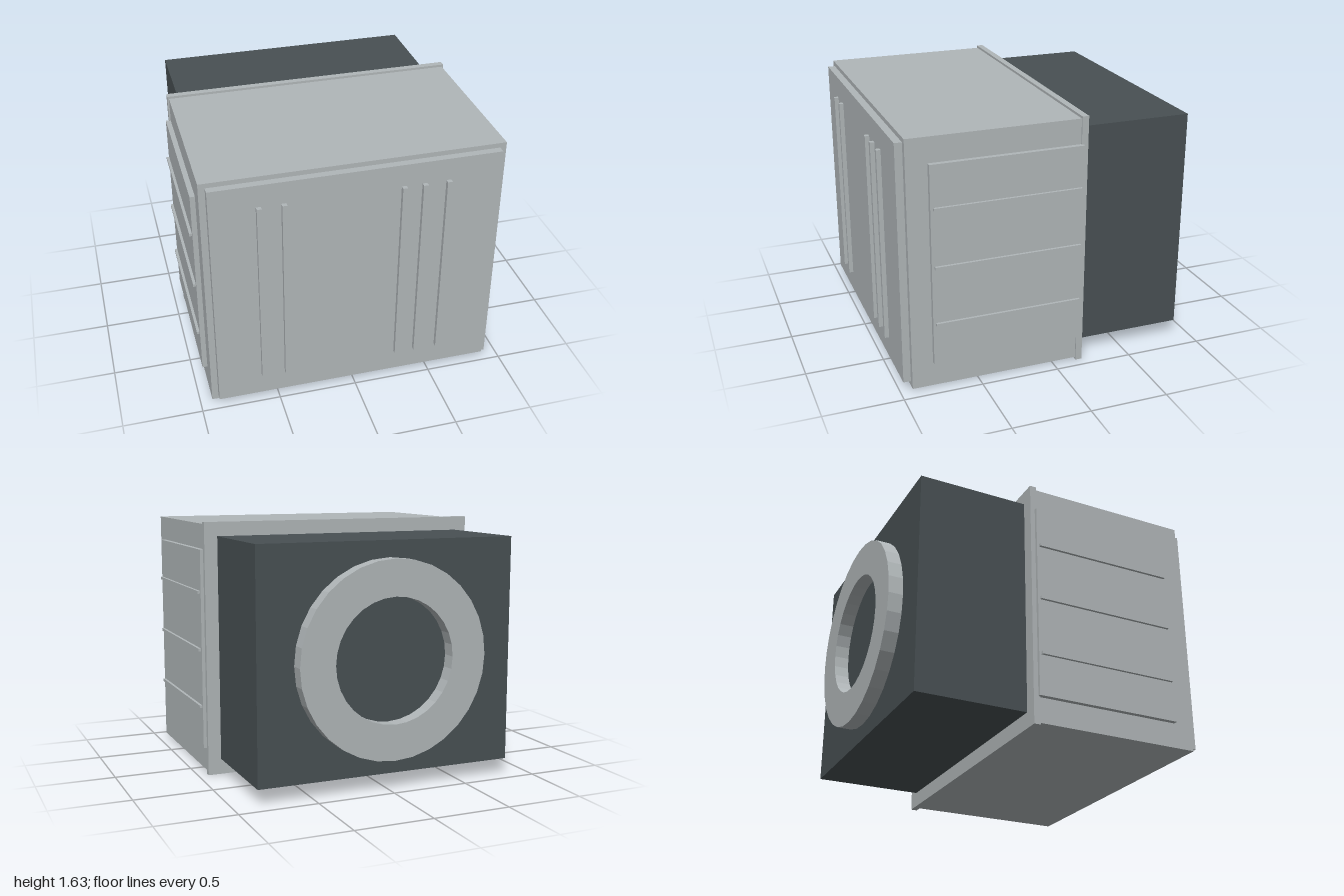
import * as THREE from 'three';

export function createModel() {
  const model = new THREE.Group();
  const lightGrey = new THREE.MeshStandardMaterial({ color: 0xb0b6b8 });
  lightGrey.name = 'lightGrey';
  const darkGrey = new THREE.MeshStandardMaterial({ color: 0x485053 });
  darkGrey.name = 'darkGrey';

  // Box given by its min and max on each axis
  function box(name, material, [x0, x1], [y0, y1], [z0, z1]) {
    const mesh = new THREE.Mesh(new THREE.BoxGeometry(x1 - x0, y1 - y0, z1 - z0), material);
    mesh.position.set((x0 + x1) / 2, (y0 + y1) / 2, (z0 + z1) / 2);
    mesh.name = name;
    model.add(mesh);
  }

  // Casing, rear collar, front door and rear housing
  box('casing', lightGrey, [-0.925, 0.925], [0.015, 1.615], [-0.17, 0.925]);
  box('collar', lightGrey, [-0.935, 0.935], [0, 1.63], [-0.195, -0.153]);
  box('frontDoor', lightGrey, [-0.885, 0.885], [0.047, 1.585], [0.92, 0.972]);
  box('rearHousing', darkGrey, [-0.85, 0.85], [0.1, 1.54], [-0.907, -0.19]);

  // Upright strips on the door
  for (const x of [-0.595, -0.446, 0.276, 0.404, 0.553]) {
    box('doorStrip', lightGrey, [x - 0.015, x + 0.015], [0.193, 1.442], [0.965, 1]);
  }

  // Side panels with three ribs each
  for (const side of [-1, 1]) {
    const span = (a, b) => (side > 0 ? [a, b] : [-b, -a]);
    box('sidePanel', lightGrey, span(0.9, 0.956), [0.176, 1.457], [-0.165, 0.793]);
    for (const y of [0.447, 0.817, 1.187]) {
      box('sideRib', lightGrey, span(0.95, 0.973), [y - 0.009, y + 0.009], [-0.15, 0.776]);
    }
  }

  // Open ring on the back
  const ringShape = new THREE.Shape().absarc(0, 0, 0.617, 0, Math.PI * 2);
  ringShape.holes.push(new THREE.Path().absarc(0, 0, 0.39, 0, Math.PI * 2, true));
  const ringGeometry = new THREE.ExtrudeGeometry(ringShape, {
    depth: 0.095, bevelEnabled: false, curveSegments: 16,
  });
  const ring = new THREE.Mesh(ringGeometry, lightGrey);
  ring.position.set(0, 0.82, -1);
  ring.name = 'rearRing';
  model.add(ring);

  return model;
}
